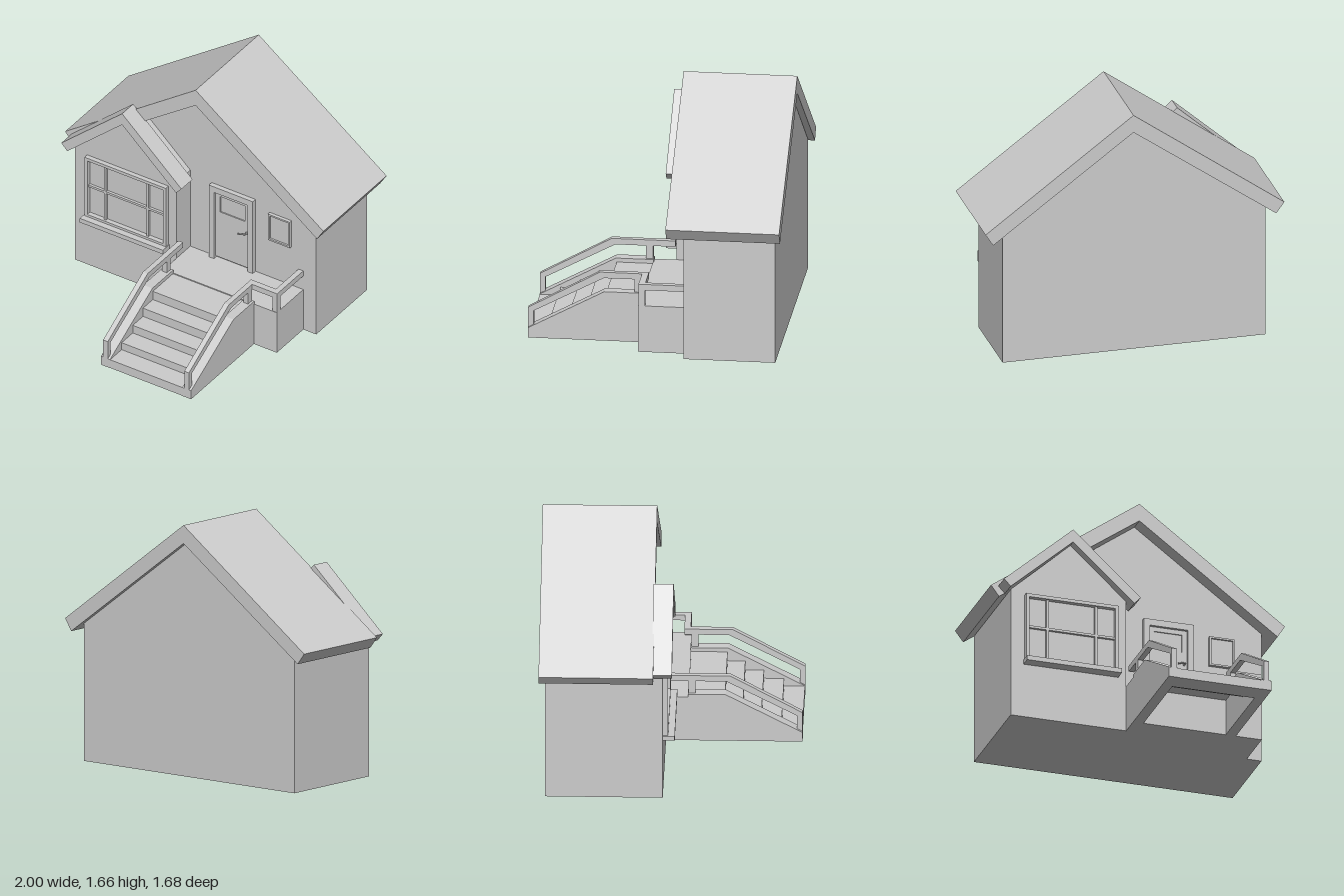
import * as THREE from 'three';

const material = new THREE.MeshStandardMaterial({ color: 0xcccccc });

export function createModel() {
  const house = new THREE.Group();
  house.name = 'house';

  function add(name, geometry, parent = house) {
    const mesh = new THREE.Mesh(geometry, material);
    mesh.name = name;
    parent.add(mesh);
    return mesh;
  }
  // Box given by its limits on each axis
  function box(name, x0, x1, y0, y1, z0, z1, parent) {
    const g = new THREE.BoxGeometry(x1 - x0, y1 - y0, z1 - z0);
    g.translate((x0 + x1) / 2, (y0 + y1) / 2, (z0 + z1) / 2);
    return add(name, g, parent);
  }
  function prism(points, depth, holes = []) {
    const shape = new THREE.Shape(points.map(p => new THREE.Vector2(...p)));
    for (const h of holes) shape.holes.push(new THREE.Path(h.map(p => new THREE.Vector2(...p))));
    return new THREE.ExtrudeGeometry(shape, { depth, bevelEnabled: false });
  }
  // (x, y) outline pulled along z
  const alongZ = (name, points, z0, z1, parent, holes) =>
    add(name, prism(points, z1 - z0, holes).translate(0, 0, z0), parent);
  // (z, y) outline pulled along x
  const alongX = (name, points, x0, x1, parent) =>
    add(name, prism(points, x1 - x0).rotateY(-Math.PI / 2).translate(x1, 0, 0), parent);
  const rect = (x0, x1, y0, y1) => [[x0, y0], [x1, y0], [x1, y1], [x0, y1]];
  // Rectangular frame with an open middle
  const frame = (name, x0, x1, y0, y1, w, z0, z1, parent, sill = w) =>
    alongZ(name, rect(x0, x1, y0, y1), z0, z1, parent,
      [rect(x0 + w, x1 - w, y0 + sill, y1 - w)]);

  // Main body and its gabled roof
  alongZ('mainWalls', [[-0.885, 0], [0.875, 0], [0.875, 0.905], [0.01, 1.54], [-0.885, 0.895]], -0.8, -0.205);
  alongZ('mainRoof', [[0.01, 1.66], [-1, 0.935], [-0.945, 0.862], [0.01, 1.54], [0.95, 0.85], [1, 0.93]],
    -0.84, -0.1);

  // Projecting bay and its smaller roof
  alongZ('bayWalls', [[-0.885, 0], [-0.1, 0], [-0.1, 0.92], [-0.48, 1.265], [-0.885, 0.895]], -0.21, -0.04);
  alongZ('bayRoof', [[-0.48, 1.352], [-0.95, 0.935], [-0.905, 0.887], [-0.48, 1.265], [-0.063, 0.888], [-0.02, 0.935]],
    -0.11, 0.02);

  // Bay window
  const bayWindow = new THREE.Group();
  bayWindow.name = 'bayWindow';
  house.add(bayWindow);
  frame('windowFrame', -0.79, -0.16, 0.4, 0.868, 0.022, -0.045, -0.008, bayWindow);
  box('windowSill', -0.798, -0.154, 0.373, 0.405, -0.045, 0.035, bayWindow);
  for (const x of [-0.64, -0.31]) box('verticalBar', x - 0.008, x + 0.008, 0.415, 0.855, -0.045, -0.022, bayWindow);
  box('horizontalBar', -0.775, -0.175, 0.632, 0.648, -0.045, -0.022, bayWindow);

  // Front door
  const door = new THREE.Group();
  door.name = 'door';
  house.add(door);
  alongZ('doorFrame', [[0.065, 0.31], [0.105, 0.31], [0.105, 0.843], [0.365, 0.843], [0.365, 0.31],
    [0.405, 0.31], [0.405, 0.887], [0.065, 0.887]], -0.21, -0.172, door);
  alongZ('doorLeaf', rect(0.105, 0.365, 0.33, 0.843), -0.21, -0.192, door, [rect(0.14, 0.33, 0.69, 0.812)]);
  box('doorPane', 0.14, 0.33, 0.69, 0.812, -0.21, -0.2, door);
  const lever = new THREE.CatmullRomCurve3([[0.345, 0.604, -0.195], [0.345, 0.604, -0.172],
    [0.325, 0.602, -0.165], [0.292, 0.592, -0.165]].map(p => new THREE.Vector3(...p)));
  add('doorHandle', new THREE.TubeGeometry(lever, 12, 0.005, 8), door);
  add('handlePlate', new THREE.CylinderGeometry(0.009, 0.009, 0.008, 12).rotateX(Math.PI / 2)
    .translate(0.345, 0.604, -0.189), door);

  // Small window beside the door
  frame('smallWindowFrame', 0.515, 0.685, 0.623, 0.828, 0.012, -0.21, -0.182);
  box('smallWindowPane', 0.525, 0.675, 0.633, 0.818, -0.21, -0.195);

  // Porch and steps
  box('porch', -0.1, 0.775, 0, 0.317, -0.21, 0.105);
  const front = [0.84, 0.705, 0.575, 0.455, 0.34, 0.1];
  const tops = [0, 0.065, 0.12, 0.18, 0.245, 0.31];
  for (let i = 0; i < 5; i++)
    box('step', -0.035, 0.535, tops[i], tops[i + 1], front[i + 1] - 0.01, front[i]);

  // Stair sides with sloping handrails
  for (const [x0, x1, back] of [[-0.1, -0.03, -0.04], [0.53, 0.598, 0.06]]) {
    const side = new THREE.Group();
    side.name = 'stairSide';
    house.add(side);
    alongX('stringer', [[0.1, 0], [0.842, 0], [0.842, 0.067], [0.345, 0.337], [0.1, 0.337]], x0, x1, side);
    const c = (x0 + x1) / 2, r0 = c - 0.018, r1 = c + 0.018;
    alongX('handrail', [[back, 0.425], [0.35, 0.425], [0.807, 0.18], [0.807, 0.08], [0.842, 0.06],
      [0.842, 0.203], [0.375, 0.465], [back, 0.465]], r0, r1, side);
    box('upperPost', r0, r1, 0.33, 0.43, 0.105, 0.15, side);
  }

  // Porch railing
  box('porchRailFront', 0.546, 0.775, 0.425, 0.465, 0.06, 0.102);
  box('porchRailSide', 0.738, 0.775, 0.425, 0.465, -0.207, 0.06);
  box('porchCornerPost', 0.738, 0.775, 0.31, 0.425, 0.06, 0.102);

  return house;
}
